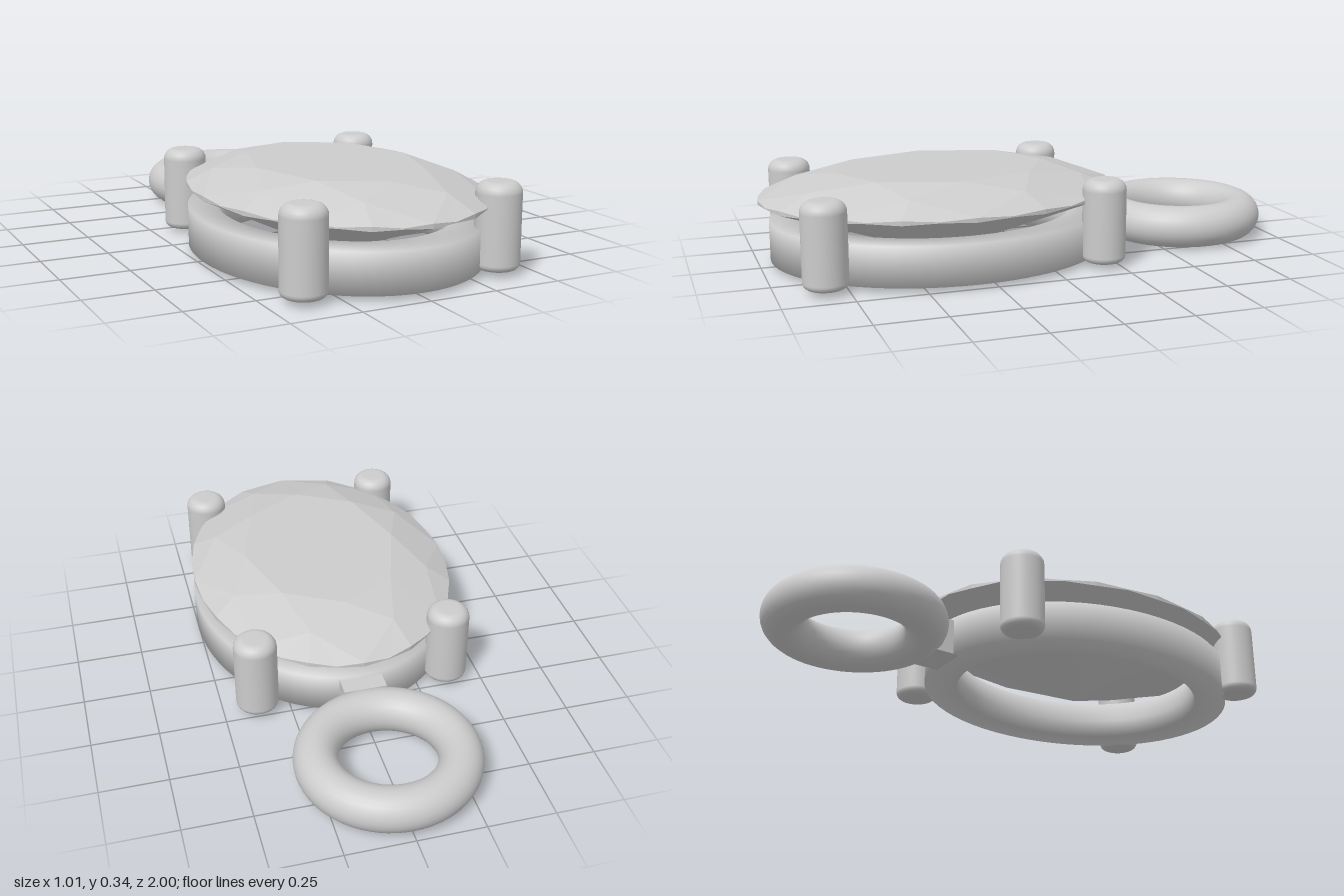
import * as THREE from 'three';

const CZ = 0.325; // centre of the oval setting
const RX = 0.505, RZ = 0.675; // half axes of the stone

const silver = new THREE.MeshStandardMaterial({ color: 0xcccccc });
silver.name = 'silver grey';

function part(name, geometry, x = 0, y = 0, z = 0) {
  const mesh = new THREE.Mesh(geometry, silver);
  mesh.name = name;
  mesh.position.set(x, y, z);
  return mesh;
}

// Oval brilliant: table, stars, kites, halves, girdle and pavilion, all flat faces
function brilliantCut() {
  const pos = [];
  const at = (r, turn, y) => {
    const a = turn * Math.PI * 2;
    return [Math.cos(a) * r * RX, y, Math.sin(a) * r * RZ];
  };
  // corners are given clockwise in turn, so each face looks outward
  const tri = (a, b, c) => pos.push(...a, ...b, ...c);
  const table = (i) => at(0.6, i / 8, 0.34);
  const star = (i) => at(0.82, (i + 0.5) / 8, 0.307);
  const tip = (i) => at(0.25, (i + 0.5) / 8, 0.06);
  const rimTop = (j) => at(1, j / 32, j % 2 ? 0.25 : 0.257);
  const rimLow = (j) => at(1, j / 32, j % 2 ? 0.246 : 0.24);
  const centre = [0, 0.34, 0], culet = [0, 0.005, 0];

  for (let i = 0; i < 8; i++) {
    const j = i * 4;
    // crown
    tri(centre, table(i + 1), table(i));
    tri(table(i), table(i + 1), star(i));
    tri(table(i), star(i), rimTop(j));
    tri(table(i + 1), rimTop(j + 4), star(i));
    // pavilion mains
    tri(culet, rimLow(j), tip(i));
    tri(culet, tip(i), rimLow(j + 4));
    for (let k = j; k < j + 4; k++) {
      // half facets and girdle
      tri(star(i), rimTop(k + 1), rimTop(k));
      tri(tip(i), rimLow(k), rimLow(k + 1));
      tri(rimTop(k), rimTop(k + 1), rimLow(k));
      tri(rimTop(k + 1), rimLow(k + 1), rimLow(k));
    }
  }
  const g = new THREE.BufferGeometry();
  g.setAttribute('position', new THREE.Float32BufferAttribute(pos, 3));
  g.computeVertexNormals();
  return g;
}

// Oval band with softly shaded edges
function ovalBand() {
  const profile = [
    [0.4, 0.09], [0.4, 0.02], [0.505, 0.02], [0.505, 0.167], [0.4, 0.167], [0.4, 0.09],
  ].map(([x, y]) => new THREE.Vector2(x, y));
  return new THREE.LatheGeometry(profile, 64).scale(1, 1, 0.635 / 0.505);
}

// Upright post with rounded ends
function prongShape() {
  const r = 0.08, low = 0.02, high = 0.328, round = 0.04;
  const pts = [new THREE.Vector2(0, low)];
  for (let i = 0; i <= 6; i++) {
    const a = (i / 6) * Math.PI / 2;
    pts.push(new THREE.Vector2(r - 0.025 + Math.sin(a) * 0.025, low + 0.025 * (1 - Math.cos(a))));
  }
  for (let i = 0; i <= 6; i++) {
    const a = (i / 6) * Math.PI / 2;
    pts.push(new THREE.Vector2(r - round + Math.cos(a) * round, high - round + Math.sin(a) * round));
  }
  pts.push(new THREE.Vector2(0, high));
  return new THREE.LatheGeometry(pts, 32);
}

export function createModel() {
  const model = new THREE.Group();
  model.name = 'pendant';

  model.add(part('ovalStone', brilliantCut(), 0, 0, CZ));
  model.add(part('settingBand', ovalBand(), 0, 0, CZ));

  // four prongs around the stone
  const prong = prongShape();
  for (const sx of [-1, 1]) {
    for (const sz of [-1, 1]) {
      const name = (sz > 0 ? 'front' : 'back') + (sx > 0 ? 'Left' : 'Right') + 'Prong';
      model.add(part(name, prong, sx * 0.37, 0, 0.317 + sz * 0.512));
    }
  }

  // hanging loop and the short block joining it to the band
  const loop = new THREE.TorusGeometry(0.255, 0.08, 24, 64).rotateX(Math.PI / 2);
  model.add(part('hangingLoop', loop, 0, 0.083, -0.665));
  model.add(part('loopConnector', new THREE.BoxGeometry(0.16, 0.135, 0.1), 0, 0.0875, -0.325));

  return model;
}
